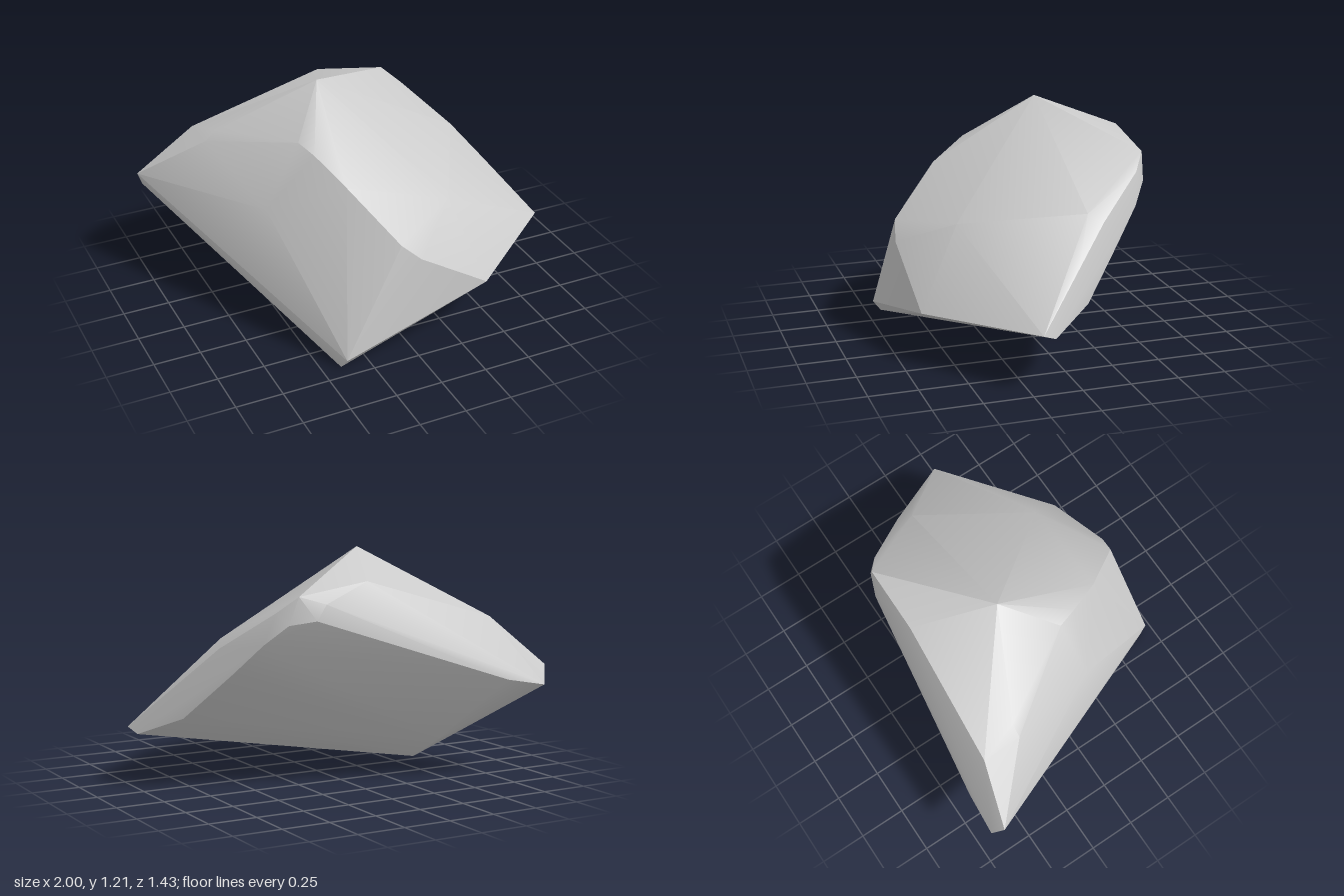
import * as THREE from 'three';
import { ConvexGeometry } from 'three/addons/geometries/ConvexGeometry.js';
import { toCreasedNormals } from 'three/addons/utils/BufferGeometryUtils.js';

// Corners of the boulder, grouped by region
const crown = [
  [-0.16, 1.205, -0.14], [0.02, 1.06, -0.54], [0.4, 1.0, -0.53],
  [-0.33, 0.97, 0.21], [-0.37, 1.0, 0.1], [-0.24, 0.86, 0.4], [0.64, 0.77, -0.15],
];
const front = [
  [-0.06, 0.62, 0.655], [0.04, 0.53, 0.68], [0.32, 0.68, 0.43], [0.44, 0.27, 0.65],
  [-0.4, 0, 0.67], [-0.385, 0.06, 0.714],
];
const leftEnd = [
  [-1, 0.59, -0.66], [-0.96, 0.49, -0.714], [-0.74, 0.53, -0.7],
  [-0.7, 0.85, -0.58], [-0.7, 0.86, -0.37], [-0.64, 0.91, -0.37], [-0.57, 0.68, 0.14],
];
const rightEnd = [[1, 0.3, 0.2], [0.975, 0.27, 0.13]];
// Worn, rounded edge running from the right end up to the back of the crown
const wornEdge = [
  [0.8, 0.57, -0.05], [0.68, 0.73, -0.22], [0.49, 0.92, -0.465],
  [0.82, 0.37, -0.09], [0.65, 0.61, -0.31], [0.55, 0.76, -0.44],
  [0.45, 0.86, -0.52], [0.32, 0.88, -0.57], [0.27, 0.96, -0.572],
];
const underside = [[-0.42, 0.09, -0.3], [-0.5, 0.2, -0.43]];

export function createModel() {
  const group = new THREE.Group();
  group.name = 'rock';

  const corners = [crown, front, leftEnd, rightEnd, wornEdge, underside]
    .flat()
    .map((p) => new THREE.Vector3(...p));

  // Soft shading over shallow facets, hard edges at sharp ones
  const boulder = new THREE.Mesh(
    toCreasedNormals(new ConvexGeometry(corners), 0.45),
    new THREE.MeshStandardMaterial({ color: 0xcccccc }),
  );
  boulder.name = 'boulder';
  group.add(boulder);
  return group;
}
